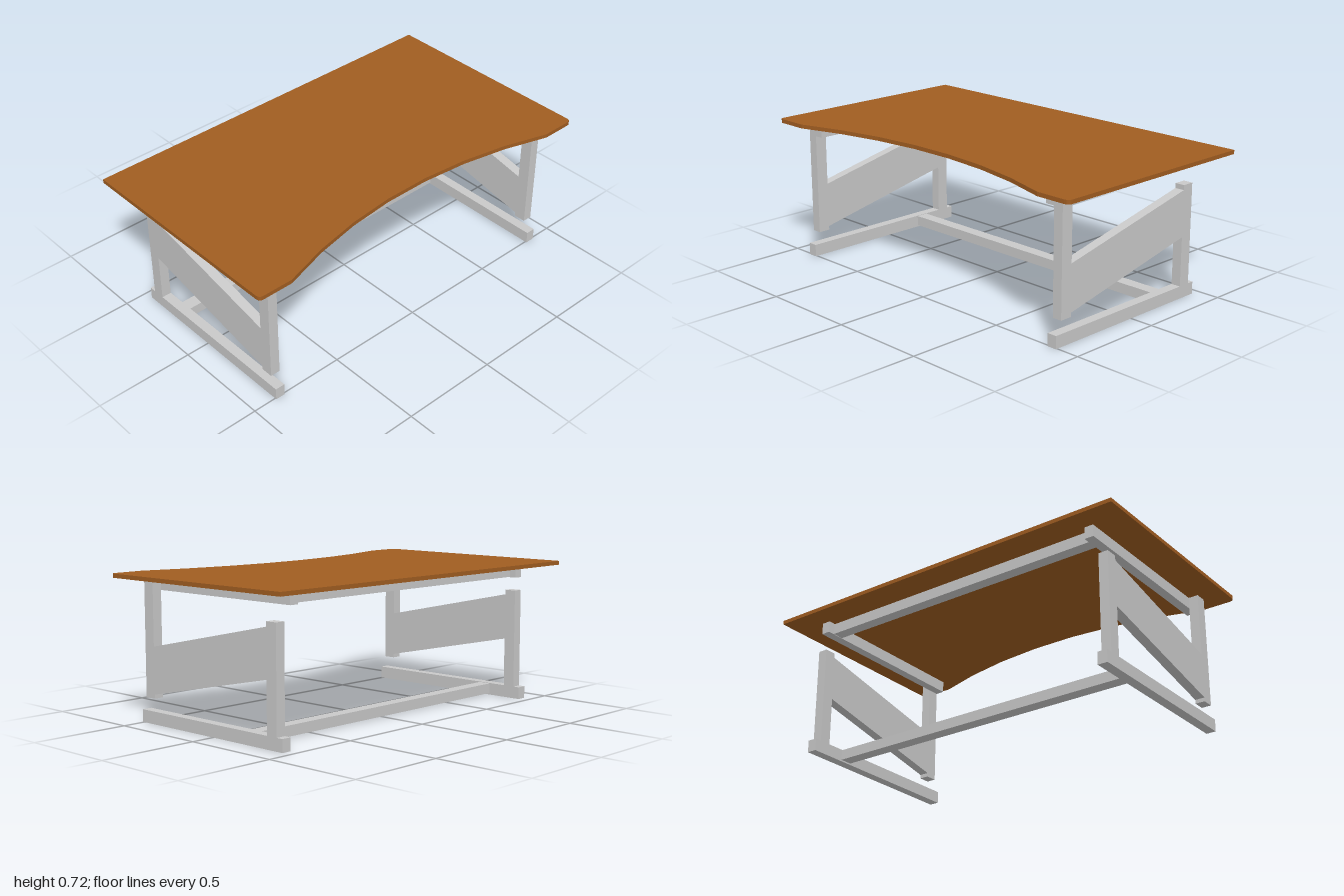
import * as THREE from 'three';

export function createModel() {
  const group = new THREE.Group();
  group.name = 'desk';
  const wood = new THREE.MeshStandardMaterial({ color: 0xa05d21 });
  wood.name = 'brownWood';
  const metal = new THREE.MeshStandardMaterial({ color: 0xc8c8c8 });
  metal.name = 'lightGrey';

  // Box given by its extents along each axis
  function bar(name, [x0, x1], [y0, y1], [z0, z1], parent = group) {
    const mesh = new THREE.Mesh(new THREE.BoxGeometry(x1 - x0, y1 - y0, z1 - z0), metal);
    mesh.position.set((x0 + x1) / 2, (y0 + y1) / 2, (z0 + z1) / 2);
    mesh.name = name;
    parent.add(mesh);
  }

  // Tabletop outline, drawn in x and z, with a shallow arc cut into the front
  const back = -0.573, front = 0.573, depth = 0.143, half = 0.82, r = 0.025;
  const radius = (half * half + depth * depth) / (2 * depth);
  const sweep = Math.asin(half / radius);
  const outline = new THREE.Shape();
  outline.moveTo(-1, back);
  outline.lineTo(1, back);
  outline.lineTo(1, front - r);
  outline.quadraticCurveTo(1, front, 1 - r, front);
  const steps = 7;
  for (let i = 0; i <= steps; i++) {
    const a = sweep * (1 - (2 * i) / steps);
    outline.lineTo(radius * Math.sin(a), front - depth + radius * (1 - Math.cos(a)));
  }
  outline.lineTo(-1 + r, front);
  outline.quadraticCurveTo(-1, front, -1, front - r);
  outline.closePath();
  const topGeometry = new THREE.ExtrudeGeometry(outline, { depth: 0.02, bevelEnabled: false, curveSegments: 4 });
  topGeometry.rotateX(Math.PI / 2); // shape y becomes z, thickness hangs down
  const top = new THREE.Mesh(topGeometry, wood);
  top.position.y = 0.72;
  top.name = 'tabletop';
  group.add(top);

  // Slanted panel joining the two legs, drawn in z and y
  const slant = new THREE.Shape([
    [0.415, 0.145], [0.415, 0.375], [-0.358, 0.543], [-0.358, 0.31],
  ].map(([z, y]) => new THREE.Vector2(-z, y)));
  const panelGeometry = new THREE.ExtrudeGeometry(slant, { depth: 0.05, bevelEnabled: false });
  panelGeometry.translate(0, 0, -0.025);
  panelGeometry.rotateY(Math.PI / 2);

  // One end frame on each side
  for (const side of [1, -1]) {
    const frame = new THREE.Group();
    frame.name = side > 0 ? 'leftFrame' : 'rightFrame';
    const span = (a, b) => (side > 0 ? [a, b] : [-b, -a]);
    const x = span(0.83, 0.88);
    bar('foot', x, [0, 0.062], [-0.455, 0.508], frame);
    bar('backLeg', x, [0.062, 0.567], [-0.42, -0.358], frame);
    bar('frontLeg', x, [0.125, 0.7], [0.415, 0.477], frame);
    bar('topRail', span(0.783, 0.83), [0.64, 0.7], [-0.457, 0.477], frame);
    const panel = new THREE.Mesh(panelGeometry, metal);
    panel.position.x = side * 0.855;
    panel.name = 'sidePanel';
    frame.add(panel);
    group.add(frame);
  }

  // Crossbars between the frames
  bar('upperCrossbar', [-0.783, 0.783], [0.642, 0.698], [-0.42, -0.36]);
  bar('lowerCrossbar', [-0.83, 0.83], [0.008, 0.06], [-0.265, -0.2]);

  return group;
}
